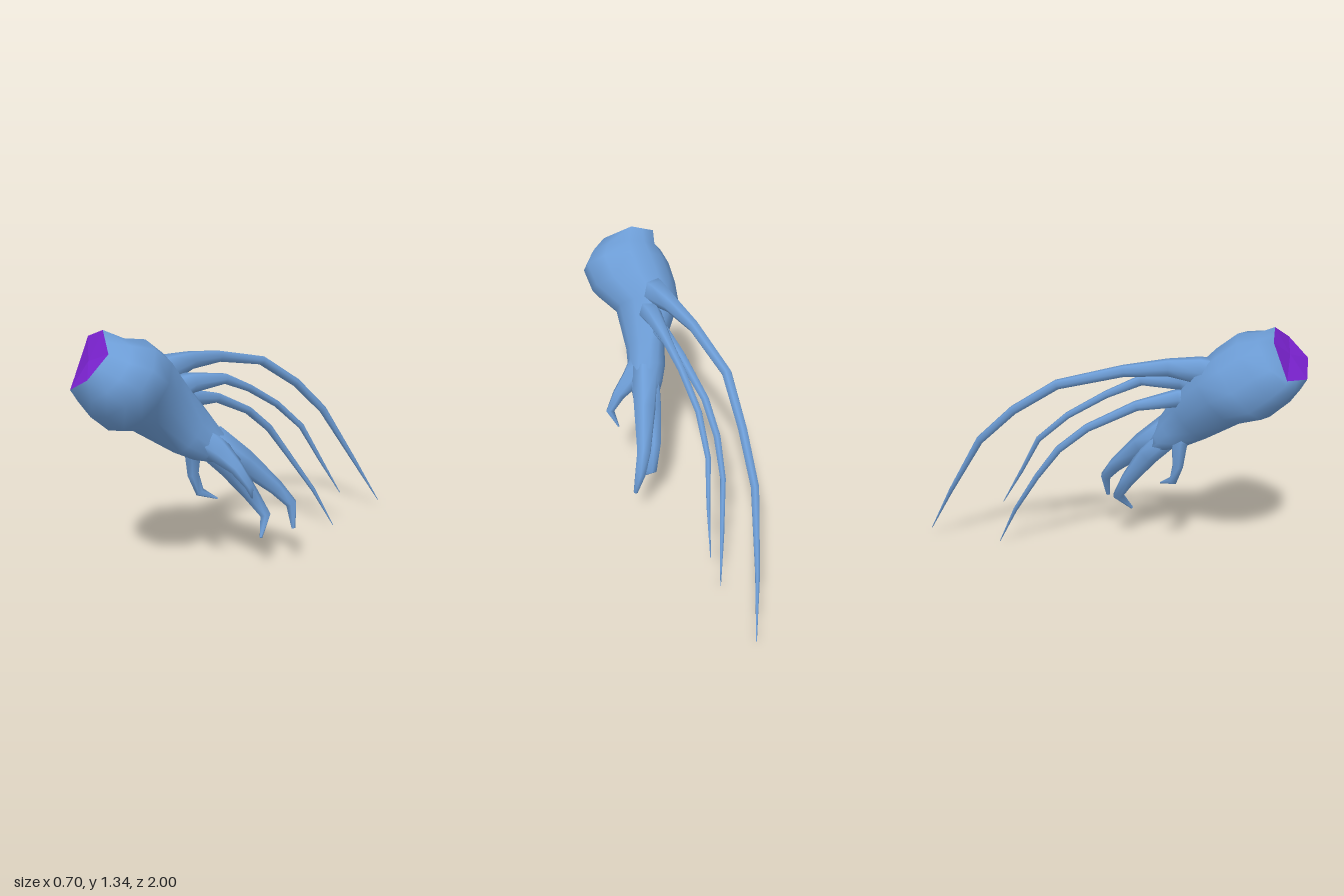
import * as THREE from 'three';

const V = (p) => new THREE.Vector3(...p);
const skin = new THREE.MeshStandardMaterial({ color: 0x6d9dd6 });
skin.name = 'blue skin';
const flesh = new THREE.MeshStandardMaterial({ color: 0x7a22cf });
flesh.name = 'purple flesh';

// Joins rings of points (counter-clockwise about the direction of travel) into a smooth skin
function loft(rings, capStart, capEnd) {
  const n = rings[0].length, pos = [], idx = [];
  rings.forEach((ring) => ring.forEach((p) => pos.push(p.x, p.y, p.z)));
  for (let i = 0; i < rings.length - 1; i++) {
    for (let j = 0; j < n; j++) {
      const k = (j + 1) % n, a = i * n + j, b = i * n + k;
      idx.push(a, b, b + n, a, b + n, a + n);
    }
  }
  const last = (rings.length - 1) * n;
  for (let j = 1; j < n - 1; j++) {
    if (capStart) idx.push(0, j + 1, j);
    if (capEnd) idx.push(last, last + j, last + j + 1);
  }
  const g = new THREE.BufferGeometry();
  g.setAttribute('position', new THREE.Float32BufferAttribute(pos, 3));
  g.setIndex(idx);
  g.computeVertexNormals();
  return g;
}

// Tapered limb; each station is [x, y, z, radius]
function limb(name, stations, sides = 6) {
  const pts = stations.map((s) => V(s));
  const rings = pts.map((p, i) => {
    const t = pts[Math.min(i + 1, pts.length - 1)].clone().sub(pts[Math.max(i - 1, 0)]).normalize();
    const v = new THREE.Vector3().crossVectors(t, new THREE.Vector3(1, 0, 0)).normalize();
    const u = new THREE.Vector3().crossVectors(v, t);
    return Array.from({ length: sides }, (_, j) => {
      const a = (j / sides) * Math.PI * 2, r = stations[i][3];
      return p.clone().addScaledVector(u, r * Math.cos(a)).addScaledVector(v, r * Math.sin(a));
    });
  });
  const mesh = new THREE.Mesh(loft(rings, true, true), skin);
  mesh.name = name;
  return mesh;
}

export function createModel() {
  const model = new THREE.Group();
  model.name = 'severedClawedArm';

  // Severed end: a ragged hexagon, with edge midpoints added
  const hex = [
    [-0.31, 1.30, 0.77], [-0.19, 1.345, 0.80], [-0.07, 1.27, 0.90],
    [-0.11, 1.17, 0.995], [-0.25, 1.10, 0.96], [-0.34, 1.12, 0.84],
  ].map(V);
  const rim = hex.flatMap((p, i) => [p, p.clone().lerp(hex[(i + 1) % 6], 0.5)]);
  const centre = hex.reduce((s, p) => s.add(p), new THREE.Vector3()).divideScalar(6);
  const axis = V([0.32, -0.66, -0.68]).normalize();
  const up = V([0, 1, -1]).projectOnPlane(axis).normalize();
  const side = new THREE.Vector3().crossVectors(axis, up);
  const spokes = rim.map((p) => p.clone().sub(centre).projectOnPlane(axis).normalize());

  // Forearm and palm: bulging at the cut, pinched at the wrist; [x, y, z, half width, half height]
  const sections = [
    [-0.17, 1.175, 0.84, 0.2, 0.17], [-0.13, 1.13, 0.775, 0.24, 0.21],
    [-0.115, 1.05, 0.68, 0.232, 0.215], [-0.118, 0.985, 0.555, 0.172, 0.18],
    [-0.015, 0.825, 0.43, 0.1, 0.138], [0.03, 0.745, 0.355, 0.1, 0.105],
    [0.07, 0.69, 0.3, 0.09, 0.065], [0.11, 0.64, 0.25, 0.07, 0.04],
  ];
  const rings = sections.map((s) => spokes.map((d) => V(s)
    .addScaledVector(side, d.dot(side) * s[3]).addScaledVector(up, d.dot(up) * s[4])));
  const forearm = new THREE.Mesh(loft([rim, ...rings], false, true), skin);
  forearm.name = 'forearm';
  model.add(forearm);

  // Exposed flesh on the cut
  const cutPos = [];
  hex.forEach((p, i) => [centre, hex[(i + 1) % 6], p].forEach((q) => cutPos.push(q.x, q.y, q.z)));
  const cutGeo = new THREE.BufferGeometry();
  cutGeo.setAttribute('position', new THREE.Float32BufferAttribute(cutPos, 3));
  cutGeo.computeVertexNormals();
  const cut = new THREE.Mesh(cutGeo, flesh);
  cut.name = 'cutFlesh';
  model.add(cut);

  // Long curved spines sweeping back from the forearm
  model.add(
    limb('upperSpine', [
      [-0.13, 1.07, 0.6, 0.1], [-0.115, 1.115, 0.45, 0.07], [-0.1, 1.125, 0.3, 0.046],
      [-0.085, 1.105, 0.08, 0.031],
      [-0.04, 1.025, -0.25, 0.026], [0.04, 0.865, -0.48, 0.024], [0.11, 0.675, -0.67, 0.022],
      [0.23, 0.33, -0.86, 0.013], [0.335, 0.05, -1.0, 0.002],
    ]),
    limb('middleSpine', [
      [-0.09, 1.0, 0.55, 0.085], [-0.035, 1.04, 0.38, 0.052], [0.02, 1.025, 0.18, 0.028],
      [0.05, 0.94, 0, 0.02], [0.09, 0.815, -0.2, 0.018], [0.15, 0.66, -0.36, 0.016],
      [0.22, 0.45, -0.46, 0.011], [0.29, 0.23, -0.575, 0.002],
    ]),
    limb('lowerSpine', [
      [-0.085, 0.93, 0.52, 0.08], [-0.065, 0.955, 0.36, 0.048], [-0.05, 0.91, 0.15, 0.027],
      [-0.025, 0.785, -0.1, 0.022], [0.01, 0.655, -0.25, 0.02], [0.06, 0.48, -0.37, 0.016],
      [0.16, 0.24, -0.5, 0.012], [0.24, 0.005, -0.6, 0.002],
    ]),
  );

  // Clawed fingers, broad at the palm and bent at the last joint
  model.add(
    limb('thumb', [
      [-0.01, 0.80, 0.40, 0.06], [-0.03, 0.70, 0.38, 0.045], [-0.035, 0.57, 0.375, 0.03],
      [-0.01, 0.475, 0.355, 0.024], [0.055, 0.435, 0.295, 0.004],
    ]),
    limb('innerFinger', [
      [0.03, 0.74, 0.35, 0.07], [0.09, 0.59, 0.23, 0.06], [0.145, 0.42, 0.125, 0.04],
      [0.2, 0.3, 0.075, 0.03], [0.225, 0.21, 0.155, 0.008],
    ]),
    limb('longFinger', [
      [0.05, 0.76, 0.34, 0.08], [0.15, 0.625, 0.2, 0.062], [0.255, 0.46, 0.06, 0.039],
      [0.315, 0.37, 0.01, 0.03], [0.34, 0.245, 0.025, 0.012],
    ]),
    limb('outerFinger', [
      [0.01, 0.79, 0.39, 0.09], [0.125, 0.71, 0.36, 0.06], [0.215, 0.645, 0.355, 0.036],
      [0.28, 0.57, 0.345, 0.024], [0.262, 0.485, 0.295, 0.004],
    ]),
  );

  return model;
}
